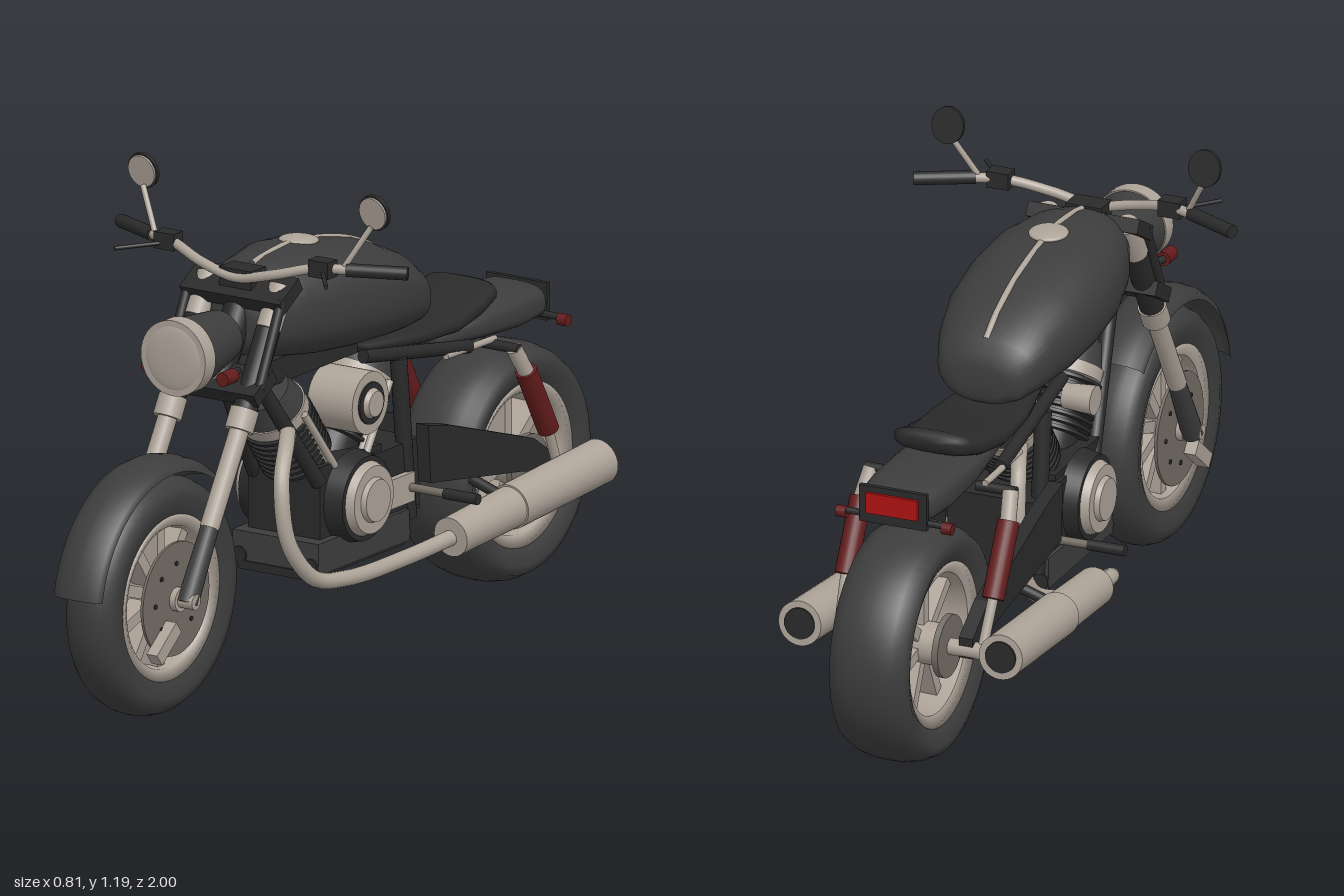
import * as THREE from 'three';

const mat = (name, hex, double) => {
  const m = new THREE.MeshStandardMaterial({ color: hex });
  m.name = name;
  if (double) m.side = THREE.DoubleSide;
  return m;
};
const V = (x, y, z) => new THREE.Vector3(x, y, z);

export function createModel() {
  const root = new THREE.Group();
  root.name = 'motorcycle';
  const charcoal = mat('charcoal', 0x3d3d3d, true);
  const black = mat('black', 0x2a2a2a);
  const metal = mat('warm metal', 0xada398);
  const disc = mat('brake disc grey', 0x736c64);
  const red = mat('dark red', 0x641c1c);
  const lamp = mat('lamp red', 0xae1212);

  // Shared builders
  const add = (name, geo, m, parent = root) => {
    const mesh = new THREE.Mesh(geo, m);
    mesh.name = name;
    parent.add(mesh);
    return mesh;
  };
  const box = (name, m, size, pos, rx = 0, parent = root) => {
    const b = add(name, new THREE.BoxGeometry(...size), m, parent);
    b.position.set(...pos);
    b.rotation.x = rx;
    return b;
  };
  const rod = (name, m, a, b, r0, r1 = r0, parent = root, seg = 20) => {
    const p = V(...a), q = V(...b), d = q.clone().sub(p);
    const c = add(name, new THREE.CylinderGeometry(r1, r0, d.length(), seg), m, parent);
    c.position.copy(p).add(q).multiplyScalar(0.5);
    c.quaternion.setFromUnitVectors(V(0, 1, 0), d.normalize());
    return c;
  };
  const tube = (name, m, pts, r) => add(name,
    new THREE.TubeGeometry(new THREE.CatmullRomCurve3(pts.map(p => V(...p))), 48, r, 14), m);
  const ball = (name, m, pos, r, scale = [1, 1, 1]) => {
    const s = add(name, new THREE.SphereGeometry(r, 24, 16), m);
    s.position.set(...pos);
    s.scale.set(...scale);
    return s;
  };
  const axleLathe = (pts, seg = 64, start = 0, len = Math.PI * 2) =>
    new THREE.LatheGeometry(pts.map(p => new THREE.Vector2(...p)), seg, start, len).rotateZ(-Math.PI / 2);
  // Skin over superellipse sections [z, halfWidth, yBottom, yTop], front to back
  const loft = (name, m, secs, n = 40, e = 2.4) => {
    const pos = [], idx = [], k = secs.length;
    const pw = v => Math.sign(v) * Math.abs(v) ** (2 / e);
    for (const [z, w, lo, hi] of secs) for (let j = 0; j < n; j++) {
      const a = j / n * Math.PI * 2;
      pos.push(w * pw(Math.cos(a)), (lo + hi) / 2 + (hi - lo) / 2 * pw(Math.sin(a)), z);
    }
    for (const s of [secs[0], secs[k - 1]]) pos.push(0, (s[2] + s[3]) / 2, s[0]);
    for (let j = 0; j < n; j++) {
      const t = (j + 1) % n, b = (k - 1) * n;
      for (let i = 0; i < k - 1; i++) {
        const p = i * n;
        idx.push(p + j, p + n + j, p + t, p + t, p + n + j, p + n + t);
      }
      idx.push(k * n, j, t, k * n + 1, b + t, b + j);
    }
    const g = new THREE.BufferGeometry();
    g.setAttribute('position', new THREE.Float32BufferAttribute(pos, 3));
    g.setIndex(idx);
    g.computeVertexNormals();
    return add(name, g, m);
  };

  // Wheels: tyre, rim, hub, spokes
  const wheel = (name, z, w, spokes) => {
    const g = new THREE.Group();
    g.name = name;
    g.position.set(0, 0.287, z);
    root.add(g);
    add('tyre', axleLathe([[0.185, -w * 0.75], [0.205, -w * 0.88], [0.235, -w], [0.258, -w * 0.92], [0.273, -w * 0.65],
      [0.281, -w * 0.3], [0.282, 0], [0.281, w * 0.3], [0.273, w * 0.65], [0.258, w * 0.92], [0.235, w],
      [0.205, w * 0.88], [0.185, w * 0.75]]), charcoal, g);
    add('rim', axleLathe([[0.168, -w * 0.7], [0.196, -w * 0.84], [0.2, 0], [0.196, w * 0.84], [0.168, w * 0.7],
      [0.165, 0], [0.168, -w * 0.7]]), metal, g).material.side = THREE.DoubleSide;
    rod('hub', metal, [-w * 0.85, 0, 0], [w * 0.85, 0, 0], 0.05, 0.05, g, 32);
    for (let i = 0; i < spokes; i++) {
      const a = i / spokes * Math.PI * 2;
      box('spoke', metal, [w * 0.8, 0.135, 0.028], [0, Math.cos(a) * 0.11, Math.sin(a) * 0.11], a, g);
    }
    return g;
  };
  const front = wheel('frontWheel', 0.68, 0.066, 10);
  const rear = wheel('rearWheel', -0.715, 0.1, 7);
  for (const s of [1, -1]) {
    rod('brakeDisc', disc, [s * 0.062, 0, 0], [s * 0.069, 0, 0], 0.135, 0.135, front, 48);
    rod('discHub', metal, [s * 0.06, 0, 0], [s * 0.085, 0, 0], 0.028, 0.028, front);
    for (let i = 0; i < 8; i++) {
      const a = i * Math.PI / 4;
      rod('discBolt', black, [s * 0.068, Math.cos(a) * 0.085, Math.sin(a) * 0.085],
        [s * 0.072, Math.cos(a) * 0.085, Math.sin(a) * 0.085], 0.006, 0.006, front, 8);
    }
    rod('rearHubPlate', disc, [s * 0.085, 0, 0], [s * 0.1, 0, 0], 0.075, 0.075, rear, 32);
    rod('rearAxle', metal, [s * 0.09, 0, 0], [s * 0.18, 0, 0], 0.02, 0.02, rear);
  }

  // Front mudguard
  add('frontFender', axleLathe([[0.295, -0.066], [0.31, -0.06], [0.322, -0.035], [0.326, 0], [0.322, 0.035],
    [0.31, 0.06], [0.295, 0.066]], 40, -2.35, 2.17), charcoal).position.set(0, 0.29, 0.685);

  // Tank, stripe, filler cap, seat, tail
  loft('tank', charcoal, [[0.345, 0.04, 0.81, 0.9], [0.335, 0.075, 0.79, 0.935], [0.3, 0.108, 0.77, 0.975],
    [0.23, 0.138, 0.755, 0.993], [0.12, 0.166, 0.738, 1], [0, 0.175, 0.727, 0.986], [-0.12, 0.168, 0.72, 0.957],
    [-0.22, 0.145, 0.716, 0.914], [-0.28, 0.122, 0.716, 0.872], [-0.303, 0.1, 0.72, 0.84], [-0.311, 0.06, 0.735, 0.81]]);
  tube('tankStripe', metal, [[0, 0.982, 0.27], [0, 0.989, 0.23], [0, 0.996, 0.12], [0, 0.982, 0],
    [0, 0.953, -0.12], [0, 0.91, -0.22], [0, 0.868, -0.28]], 0.008);
  ball('fillerCap', metal, [0, 0.996, 0.08], 0.047, [1, 0.25, 1]).rotation.x = -0.05;
  loft('seat', black, [[-0.1, 0.07, 0.69, 0.72], [-0.28, 0.105, 0.67, 0.716], [-0.42, 0.112, 0.665, 0.72],
    [-0.52, 0.106, 0.68, 0.74], [-0.58, 0.1, 0.7, 0.758], [-0.6, 0.08, 0.71, 0.752]], 32, 2.8);
  loft('tail', charcoal, [[-0.38, 0.08, 0.64, 0.675], [-0.55, 0.1, 0.62, 0.7], [-0.7, 0.1, 0.61, 0.704],
    [-0.79, 0.092, 0.615, 0.7], [-0.81, 0.075, 0.63, 0.685]], 32, 3);
  box('tailLightHousing', black, [0.17, 0.09, 0.012], [0, 0.655, -0.812]);
  box('tailLight', lamp, [0.13, 0.05, 0.012], [0, 0.66, -0.82]);
  rod('signalBar', black, [-0.13, 0.625, -0.805], [0.13, 0.625, -0.805], 0.008);

  // Headlight
  rod('headlightRim', metal, [0, 0.83, 0.55], [0, 0.83, 0.592], 0.09, 0.09, root, 40);
  ball('headlightLens', metal, [0, 0.83, 0.588], 0.08, [1, 1, 0.15]);
  rod('headlightBowl', charcoal, [0, 0.84, 0.4], [0, 0.83, 0.555], 0.062, 0.088, root, 40);

  // Steering head and yokes
  rod('steeringHead', black, [0, 0.95, 0.29], [0, 0.72, 0.42], 0.035);
  box('upperYoke', black, [0.28, 0.035, 0.09], [0, 0.935, 0.315], 0.53);
  box('lowerYoke', black, [0.28, 0.035, 0.09], [0, 0.74, 0.42], 0.53);
  box('barClamp', black, [0.09, 0.05, 0.06], [0, 0.96, 0.31]);
  tube('handlebar', metal, [[-0.28, 1.012, 0.275], [-0.2, 1.01, 0.3], [-0.1, 0.985, 0.33], [0, 0.965, 0.335],
    [0.1, 0.985, 0.33], [0.2, 1.01, 0.3], [0.28, 1.012, 0.275]], 0.012);

  for (const s of [1, -1]) {
    // Fork legs
    rod('forkTop', metal, [s * 0.1, 0.95, 0.295], [s * 0.1, 0.86, 0.35], 0.03);
    rod('forkCover', black, [s * 0.1, 0.86, 0.35], [s * 0.1, 0.67, 0.455], 0.029);
    rod('forkCollar', metal, [s * 0.1, 0.69, 0.445], [s * 0.1, 0.645, 0.47], 0.034);
    rod('forkTube', metal, [s * 0.1, 0.66, 0.46], [s * 0.1, 0.44, 0.59], 0.023);
    rod('forkSlider', charcoal, [s * 0.1, 0.46, 0.578], [s * 0.1, 0.28, 0.68], 0.021, 0.026);
    rod('forkFoot', metal, [s * 0.07, 0.287, 0.68], [s * 0.125, 0.287, 0.68], 0.018);
    box('brakeCaliper', metal, [0.03, 0.1, 0.035], [s * 0.083, 0.2, 0.75], -0.9);
    rod('headlightBracket', black, [s * 0.13, 0.93, 0.34], [s * 0.13, 0.74, 0.43], 0.012);
    rod('frontSignalStem', black, [s * 0.09, 0.785, 0.46], [s * 0.105, 0.785, 0.5], 0.009);
    rod('frontSignal', red, [s * 0.105, 0.785, 0.5], [s * 0.105, 0.785, 0.545], 0.017);

    // Grips, levers, mirrors
    rod('grip', black, [s * 0.27, 1.012, 0.28], [s * 0.4, 1.01, 0.22], 0.016);
    box('switchPod', black, [0.055, 0.04, 0.04], [s * 0.215, 1.012, 0.297]);
    rod('lever', black, [s * 0.225, 1.005, 0.31], [s * 0.295, 1.002, 0.4], 0.005);
    rod('mirrorStem', metal, [s * 0.265, 1.02, 0.28], [s * 0.318, 1.115, 0.25], 0.007);
    for (const [n, m, r, dz] of [['mirrorShell', black, 0.04, 0], ['mirrorGlass', metal, 0.036, 0.006]]) {
      const d = rod(n, m, [s * 0.322, 1.148, 0.236 + dz], [s * 0.322, 1.148, 0.246 + dz], r, r, root, 32);
      d.rotation.x += 0.2;
      d.scale.z = 1.1;
    }

    // Frame tubes, engine cradle and swingarm
    rod('downTube', black, [s * 0.04, 0.78, 0.36], [s * 0.09, 0.44, 0.13], 0.018);
    rod('lowerRail', black, [s * 0.1, 0.25, 0.18], [s * 0.1, 0.25, -0.2], 0.02);
    rod('seatRail', black, [s * 0.09, 0.7, -0.05], [s * 0.11, 0.635, -0.45], 0.016);
    rod('tailRail', metal, [s * 0.115, 0.635, -0.35], [s * 0.115, 0.632, -0.55], 0.008);
    rod('rearPost', black, [s * 0.1, 0.67, -0.18], [s * 0.1, 0.28, -0.22], 0.02);
    const arm = new THREE.Shape([[0.21, 0.51], [0.3, 0.49], [0.64, 0.38], [0.73, 0.32], [0.73, 0.27],
      [0.6, 0.31], [0.22, 0.37]].map(p => new THREE.Vector2(...p)));
    const ag = new THREE.ExtrudeGeometry(arm, { depth: 0.035, bevelEnabled: false }).rotateY(Math.PI / 2);
    add('swingarm', ag, black).position.x = s * 0.145 - 0.0175;

    // Rear suspension
    rod('shockCap', metal, [s * 0.175, 0.62, -0.54], [s * 0.185, 0.55, -0.58], 0.019);
    rod('shockBody', red, [s * 0.185, 0.56, -0.575], [s * 0.185, 0.4, -0.665], 0.026);
    rod('shockRod', metal, [s * 0.185, 0.4, -0.665], [s * 0.18, 0.3, -0.71], 0.012);
    rod('shockMount', black, [s * 0.09, 0.62, -0.54], [s * 0.19, 0.62, -0.54], 0.012);
    rod('rearSignal', red, [s * 0.12, 0.62, -0.805], [s * 0.145, 0.62, -0.805], 0.014);

    // Silencers and footpegs
    rod('silencerFront', metal, [s * 0.235, 0.258, -0.195], [s * 0.242, 0.278, -0.43], 0.047, 0.05, root, 32);
    rod('silencerRear', metal, [s * 0.242, 0.278, -0.425], [s * 0.252, 0.308, -0.775], 0.054, 0.054, root, 32);
    rod('silencerOutlet', black, [s * 0.252, 0.308, -0.77], [s * 0.252, 0.3083, -0.779], 0.038, 0.038, root, 32);
    rod('silencerBracket', black, [s * 0.14, 0.33, -0.42], [s * 0.23, 0.3, -0.42], 0.013);
    rod('footpegBar', disc, [s * 0.1, 0.36, -0.195], [s * 0.27, 0.36, -0.195], 0.01);
    rod('footpeg', black, [s * 0.22, 0.36, -0.195], [s * 0.312, 0.36, -0.195], 0.013);

    // Crankcase covers
    rod('caseRing', black, [s * 0.1, 0.385, 0.015], [s * 0.145, 0.385, 0.015], 0.11, 0.1, root, 40);
    rod('caseCover', metal, [s * 0.145, 0.385, 0.015], [s * 0.165, 0.385, 0.015], 0.088, 0.08, root, 40);
    rod('caseCap', metal, [s * 0.16, 0.385, 0.015], [s * 0.178, 0.385, 0.015], 0.055, 0.05, root, 32);

    // Cylinder (one per side of the V): finned barrel, head and cover
    const at = (t, x = 0) => [x, 0.385 + 0.8 * t, 0.015 + s * 0.6 * t];
    rod('barrel', black, at(0.08), at(0.3), 0.065, 0.065, root, 28);
    for (let i = 0; i < 8; i++) rod('fin', black, at(0.13 + i * 0.018), at(0.138 + i * 0.018), 0.088, 0.088, root, 28);
    rod('cylinderHead', metal, at(0.27), at(0.3), 0.084, 0.084, root, 28);
    rod('rockerCover', charcoal, at(0.3), at(0.36), 0.08, 0.065, root, 28);
    for (const x of [0.085, 0.1]) rod('pushrod', metal, at(0.1, x), at(0.29, x * 0.9), 0.009);
  }

  // Engine block, gearbox and sump
  box('crankcase', black, [0.2, 0.2, 0.25], [0, 0.38, 0.015]);
  box('sump', charcoal, [0.24, 0.075, 0.37], [0, 0.27, -0.01]);
  box('skidTray', black, [0.2, 0.02, 0.38], [0, 0.228, -0.01]);
  box('gearbox', black, [0.22, 0.17, 0.18], [0, 0.38, -0.16]);
  box('backbone', black, [0.08, 0.06, 0.6], [0, 0.72, 0.02]);
  box('gearboxCover', metal, [0.015, 0.07, 0.1], [0.118, 0.36, -0.16]);

  // Air cleaner on the left side
  rod('airCleaner', metal, [0.03, 0.615, 0.015], [0.155, 0.615, 0.015], 0.074, 0.074, root, 40);
  rod('airCleanerRing', black, [0.155, 0.615, 0.015], [0.16, 0.615, 0.015], 0.05, 0.05, root, 32);
  rod('airCleanerCap', metal, [0.16, 0.615, 0.015], [0.172, 0.615, 0.015], 0.036, 0.03, root, 32);
  rod('horn', metal, [-0.06, 0.615, 0.04], [-0.135, 0.615, 0.04], 0.03, 0.035);

  // Exhaust pipes
  tube('frontExhaust', metal, [[0.05, 0.58, 0.2], [0.11, 0.575, 0.29], [0.145, 0.5, 0.362], [0.165, 0.36, 0.362],
    [0.185, 0.265, 0.29], [0.2, 0.24, 0.17], [0.212, 0.24, -0.05], [0.235, 0.257, -0.21]], 0.019);
  tube('rearExhaust', metal, [[-0.05, 0.58, -0.2], [-0.09, 0.56, -0.3], [-0.11, 0.42, -0.345], [-0.13, 0.28, -0.32],
    [-0.17, 0.225, -0.2], [-0.195, 0.225, -0.1], [-0.22, 0.235, -0.075], [-0.238, 0.25, -0.11], [-0.237, 0.257, -0.21]], 0.019);
  return root;
}
